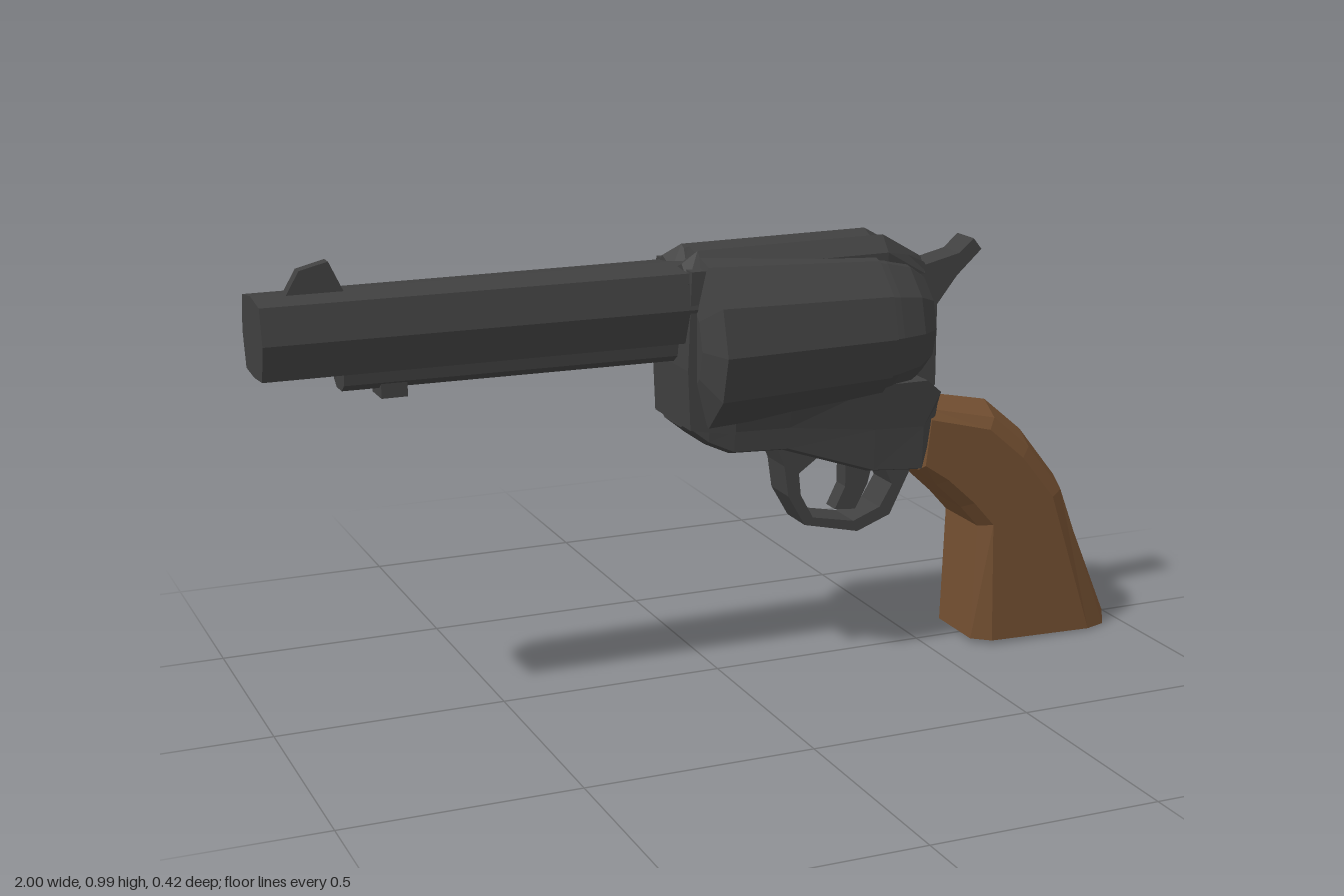
import * as THREE from 'three';

const steel = new THREE.MeshStandardMaterial({ color: 0x404040, flatShading: true });
const wood = new THREE.MeshStandardMaterial({ color: 0x734f31, flatShading: true });

// Closed solid through equal-length rings of [x, y, z] points, capped at both ends
function loft(rings) {
  const n = rings[0].length;
  const pos = rings.flat(2);
  const index = [];
  for (let i = 0; i < rings.length - 1; i++) {
    for (let j = 0; j < n; j++) {
      const a = i * n + j, b = i * n + (j + 1) % n;
      index.push(a, b, a + n, b, b + n, a + n);
    }
  }
  for (const last of [false, true]) {
    const ring = last ? rings[rings.length - 1] : rings[0];
    const start = last ? (rings.length - 1) * n : 0;
    const centre = pos.length / 3;
    pos.push(...[0, 1, 2].map(k => ring.reduce((s, p) => s + p[k], 0) / n));
    for (let j = 0; j < n; j++) {
      const a = start + j, b = start + (j + 1) % n;
      index.push(centre, ...(last ? [a, b] : [b, a]));
    }
  }
  // Turn the faces outward if the signed volume is negative
  const v = i => new THREE.Vector3().fromArray(pos, i * 3);
  let volume = 0;
  for (let i = 0; i < index.length; i += 3) {
    volume += v(index[i]).dot(v(index[i + 1]).cross(v(index[i + 2])));
  }
  if (volume < 0) index.reverse();
  const indexed = new THREE.BufferGeometry();
  indexed.setAttribute('position', new THREE.Float32BufferAttribute(pos, 3));
  indexed.setIndex(index);
  const geo = indexed.toNonIndexed();
  geo.computeVertexNormals();
  return geo;
}

// Side outline in x, y given thickness about z = 0
function plate(outline, halfWidth, hole) {
  const toPoints = list => list.map(([x, y]) => new THREE.Vector2(x, y));
  const shape = new THREE.Shape(toPoints(outline));
  if (hole) shape.holes.push(new THREE.Path(toPoints(hole)));
  return new THREE.ExtrudeGeometry(shape, { depth: 2 * halfWidth, bevelEnabled: false })
    .translate(0, 0, -halfWidth);
}

// Right half of a cross-section [z, y], top to bottom, mirrored into a ring at x
function mirrorRing(x, half) {
  const other = half.filter(([z]) => z !== 0).reverse().map(([z, y]) => [-z, y]);
  return [...half, ...other].map(([z, y]) => [x, y, z]);
}

// Twelve-sided ring around the cylinder axis
function roundRing(x, radius, y = 0.765, squash = 0.95) {
  return Array.from({ length: 12 }, (_, i) => {
    const a = i * Math.PI / 6;
    return [x, y + Math.sin(a) * radius * squash, Math.cos(a) * radius];
  });
}

export function createModel() {
  const model = new THREE.Group();
  const add = (name, geometry, material = steel) => {
    const mesh = new THREE.Mesh(geometry, material);
    mesh.name = name;
    model.add(mesh);
  };

  // Faceted barrel, slightly wider toward the cylinder
  const barrelRing = (x, s) => mirrorRing(x, [
    [0, 0.935], [0.075 * s, 0.925], [0.09 * s, 0.85], [0.07 * s, 0.775], [0, 0.77],
  ]);
  add('barrel', loft([barrelRing(-1, 1), barrelRing(-0.05, 1.14)]));
  add('frontSight', plate([[-0.94, 0.92], [-0.905, 0.98], [-0.845, 0.995], [-0.81, 0.92]], 0.015));

  // Rod housing below the barrel
  const rodRing = (x, bottom) => mirrorRing(x, [
    [0.045, 0.79], [0.04, bottom + 0.015], [0.02, bottom],
  ]);
  add('ejectorHousing', loft([rodRing(-0.83, 0.73), rodRing(-0.05, 0.725)]));
  add('ejectorTip', new THREE.BoxGeometry(0.055, 0.04, 0.07).translate(-0.725, 0.73, 0));

  // Cylinder and the rounded shield behind it
  add('cylinder', loft([
    roundRing(-0.09, 0.13), roundRing(-0.065, 0.21), roundRing(0.34, 0.187),
  ]));
  add('recoilShield', loft([
    roundRing(0.33, 0.183), roundRing(0.36, 0.178), roundRing(0.42, 0.16),
    roundRing(0.465, 0.125), roundRing(0.495, 0.05),
  ]));

  // Frame: grooved top strap, front web, rear spine and lower body
  const strapRing = (x, top, width) => mirrorRing(x, [
    [0, top - 0.02], [0.6 * width, top], [width, top - 0.035], [width, 0.88], [0, 0.88],
  ]);
  add('topStrap', loft([
    strapRing(-0.105, 0.94, 0.09), strapRing(-0.065, 0.963, 0.075),
    strapRing(0.37, 0.967, 0.075), strapRing(0.47, 0.91, 0.055),
  ]));
  add('frontWeb', plate([[-0.1, 0.93], [-0.11, 0.72], [-0.105, 0.59], [0, 0.57], [0, 0.93]], 0.1));
  add('rearSpine', plate([
    [0.36, 0.95], [0.47, 0.9], [0.505, 0.84], [0.505, 0.62], [0.46, 0.58], [0.36, 0.58],
  ], 0.05));
  const frameSections = [
    [-0.105, 0.62, 0.585, 0.07], [-0.055, 0.62, 0.545, 0.085], [0, 0.63, 0.52, 0.095],
    [0.125, 0.63, 0.515, 0.1], [0.33, 0.65, 0.445, 0.104], [0.45, 0.65, 0.435, 0.104],
    [0.485, 0.62, 0.56, 0.1],
  ];
  add('lowerFrame', loft(frameSections.map(([x, top, bottom, w]) => mirrorRing(x, [
    [w * 1.15, top], [w, (top + bottom) / 2], [w * 0.95, bottom + 0.01], [w * 0.65, bottom],
  ]))));

  // Trigger guard and trigger
  add('triggerGuard', plate([
    [0.115, 0.53], [0.14, 0.47], [0.15, 0.4], [0.19, 0.33], [0.32, 0.3],
    [0.4, 0.33], [0.455, 0.44], [0.33, 0.46],
  ], 0.045, [
    [0.175, 0.45], [0.225, 0.485], [0.32, 0.447], [0.385, 0.442], [0.405, 0.4],
    [0.375, 0.35], [0.31, 0.325], [0.21, 0.345], [0.18, 0.4],
  ]));
  add('trigger', plate([
    [0.3, 0.48], [0.3, 0.4], [0.275, 0.35], [0.325, 0.345], [0.355, 0.4], [0.375, 0.48],
  ], 0.022));

  // Hammer with its raised spur
  add('hammer', plate([
    [0.44, 0.89], [0.48, 0.89], [0.565, 0.91], [0.6, 0.94], [0.62, 0.915],
    [0.56, 0.86], [0.505, 0.79], [0.44, 0.79],
  ], 0.037));

  // Grip lofted from front-edge and back-edge points: [frontX, frontY, backX, backY]
  const gripSpans = [
    [0.455, 0.435, 0.475, 0.597], [0.5, 0.395, 0.66, 0.56], [0.565, 0.335, 0.755, 0.48],
    [0.61, 0.285, 0.85, 0.36], [0.6, 0.015, 1, 0.005],
  ];
  const gripSection = [[0, 0.075], [0.1, 0.105], [0.74, 0.105], [0.87, 0.085], [1, 0]];
  add('grip', loft(gripSpans.map(([fx, fy, bx, by]) => {
    const side = s => gripSection.map(([t, z]) => [fx + (bx - fx) * t, fy + (by - fy) * t, s * z]);
    return [...side(1), ...side(-1).reverse().slice(1)];
  })), wood);

  return model;
}
